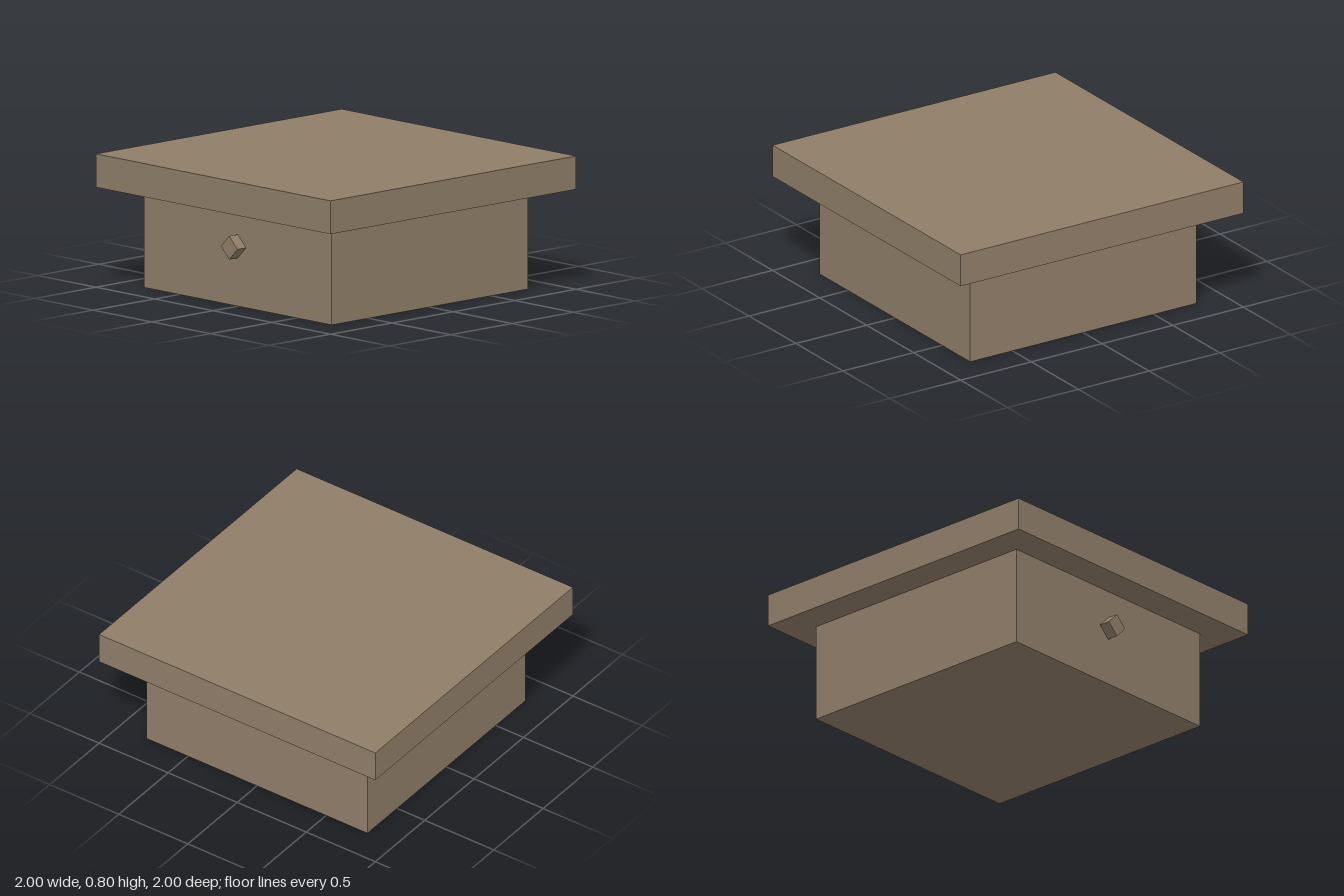
import * as THREE from 'three';

export function createModel() {
  const model = new THREE.Group();
  const material = new THREE.MeshStandardMaterial({ color: 0x8f7d68, flatShading: true });

  function box(name, size, position) {
    const mesh = new THREE.Mesh(new THREE.BoxGeometry(...size), material);
    mesh.name = name;
    mesh.position.set(...position);
    model.add(mesh);
    return mesh;
  }

  // Square body with an overhanging slab on top
  box('body', [1.6, 0.6, 1.6], [0, 0.3, 0]);
  box('top', [2, 0.2, 2], [0, 0.7, 0]);

  // Small cube knob standing on its corner, sunk slightly into the front
  const knob = box('knob', [0.1, 0.1, 0.1], [0, 0.36, 0.82]);
  knob.rotation.z = Math.PI / 4;

  return model;
}
